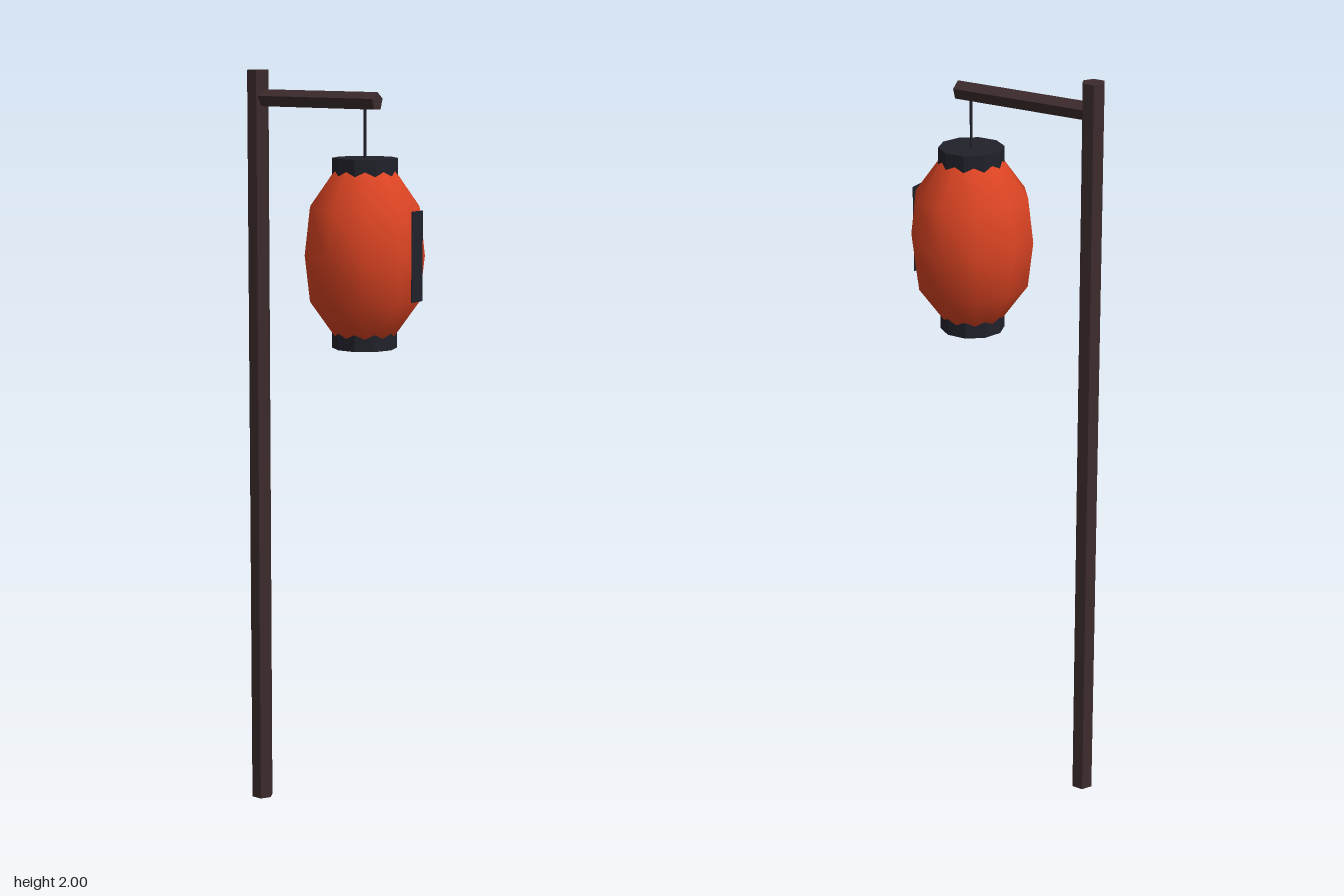
import * as THREE from 'three';

export function createModel() {
  const model = new THREE.Group();
  model.name = 'hangingLantern';

  const material = (name, color, flatShading) => {
    const m = new THREE.MeshStandardMaterial({ color });
    m.name = name;
    m.flatShading = flatShading;
    return m;
  };
  const wood = material('darkWood', 0x3d2b2c, true);
  const paper = material('redPaper', 0xdb4423, false);
  const black = material('charcoal', 0x21212b, true);

  const add = (name, geometry, mat, x, y, z, parent = model) => {
    const mesh = new THREE.Mesh(geometry, mat);
    mesh.name = name;
    mesh.position.set(x, y, z);
    parent.add(mesh);
    return mesh;
  };

  // Hexagonal post and the arm reaching forward from it
  const postZ = -0.2425;
  add('post', new THREE.CylinderGeometry(0.03, 0.03, 2, 6), wood, 0, 1, postZ);
  const armEnd = 0.143;
  const arm = add('arm', new THREE.CylinderGeometry(0.024, 0.024, armEnd - postZ, 5), wood,
    0, 1.926, (armEnd + postZ) / 2);
  arm.rotation.x = -Math.PI / 2;

  // Lantern, hung from the arm
  const lantern = new THREE.Group();
  lantern.name = 'lantern';
  lantern.position.set(0, 1.54, 0.105);
  model.add(lantern);

  add('cord', new THREE.CylinderGeometry(0.004, 0.004, 0.15, 6), black, 0, 0.305, 0, lantern);

  // Ten-sided paper body, symmetric above and below its widest ring
  const half = [[0.147, 0.119], [0.08, 0.212], [0.05, 0.228]];
  const profile = [
    ...half.map(([r, y]) => new THREE.Vector2(r, -y)).reverse(),
    new THREE.Vector2(0.161, 0),
    ...half.map(([r, y]) => new THREE.Vector2(r, y)),
  ];
  add('paperBody', new THREE.LatheGeometry(profile, 10, Math.PI / 2), paper, 0, 0, 0, lantern);

  // Collars closing both ends
  for (const [name, side] of [['topCollar', 1], ['bottomCollar', -1]]) {
    add(name, new THREE.CylinderGeometry(0.084, 0.084, 0.05, 10), black, 0, side * 0.219, 0, lantern);
  }

  // Dark strip standing just off the front
  add('frontStrip', new THREE.BoxGeometry(0.047, 0.23, 0.002), black, 0, 0.002, 0.163, lantern);

  return model;
}
